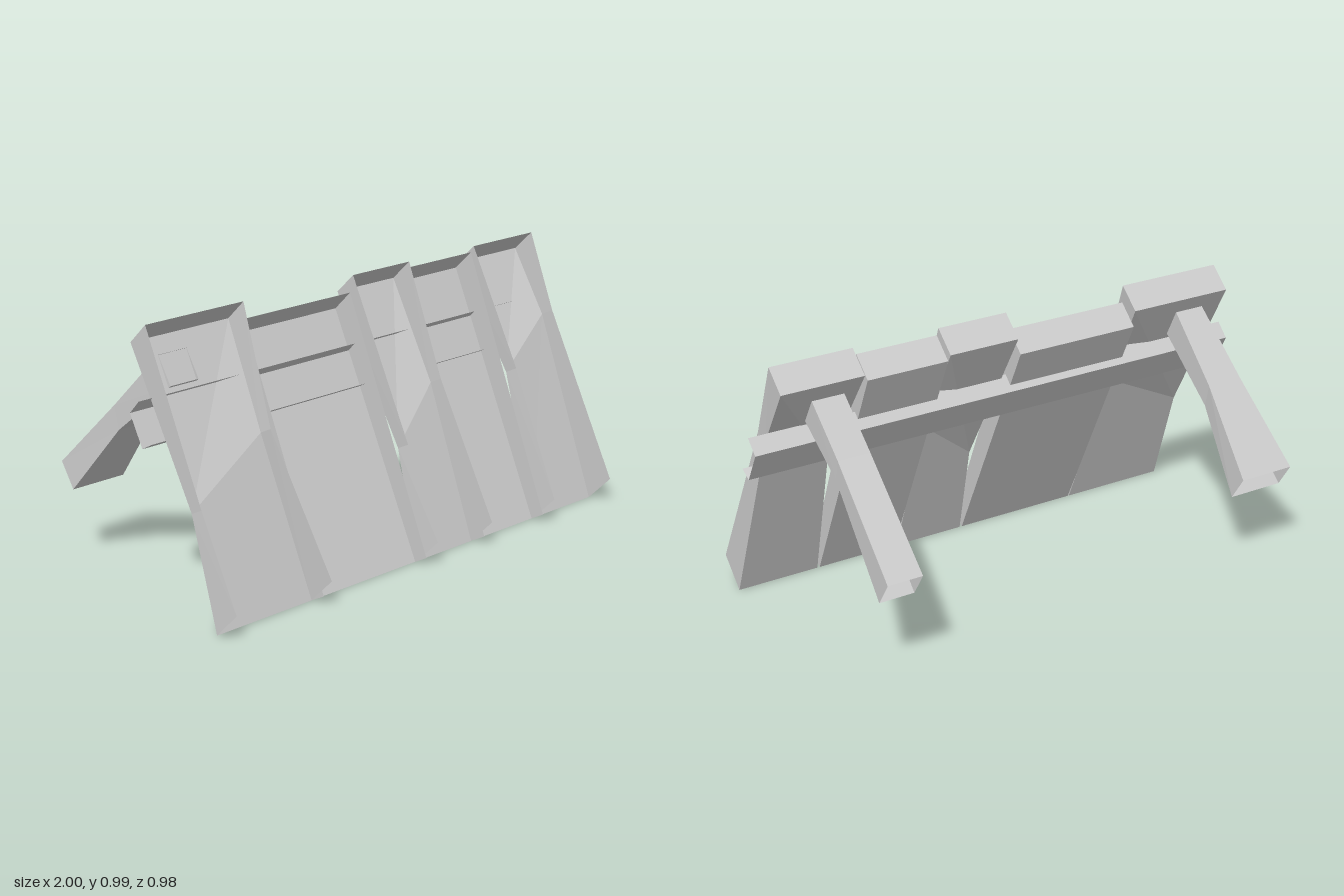
import * as THREE from 'three';

const material = new THREE.MeshStandardMaterial({
  color: 0xcccccc, flatShading: true, side: THREE.DoubleSide,
});

// Joins matching cross-sections with quads; optionally wraps round and caps the last one.
function loft(name, sections, { closed = false, cap = false } = {}) {
  const pos = [];
  const quad = (a, b, c, d) => pos.push(...a, ...b, ...c, ...a, ...c, ...d);
  for (let i = 0; i < sections.length - 1; i++) {
    const lo = sections[i], hi = sections[i + 1];
    const count = closed ? lo.length : lo.length - 1;
    for (let j = 0; j < count; j++) {
      const k = (j + 1) % lo.length;
      quad(lo[j], hi[j], hi[k], lo[k]);
    }
  }
  if (cap) quad(...sections[sections.length - 1]);
  const geometry = new THREE.BufferGeometry();
  geometry.setAttribute('position', new THREE.Float32BufferAttribute(pos, 3));
  geometry.computeVertexNormals();
  const mesh = new THREE.Mesh(geometry, material);
  mesh.name = name;
  return mesh;
}

// Plank cross-section: front left, back left, back right, front right.
// Each side is given as [x, back y, back z]; the front edge is offset by [dy, dz].
function plankSection([xa, ya, za], [xb, yb, zb], [dy, dz]) {
  return [[xa, ya + dy, za + dz], [xa, ya, za], [xb, yb, zb], [xb, yb + dy, zb + dz]];
}

export function createModel() {
  const group = new THREE.Group();

  // Wide planks: hollow at the front, pinched and bent around a slanted waist
  const widePlanks = [
    { name: 'rightPlank', x: [-0.95, -0.53], waist: [[-0.93, 0.38, 0.25], [-0.57, 0.56, 0.185]] },
    { name: 'middlePlank', x: [-0.02, 0.26], waist: [[0.02, 0.38, 0.25], [0.25, 0.56, 0.185]] },
    { name: 'leftPlank', x: [0.6, 0.92], waist: [[0.64, 0.52, 0.2], [0.91, 0.68, 0.135]] },
  ];
  for (const { name, x: [a, b], waist } of widePlanks) {
    group.add(loft(name, [
      plankSection([a, 0, 0.39], [b, 0, 0.39], [0.1, 0.1]),
      plankSection(...waist, [0.025, 0.05]),
      plankSection([a, 0.91, -0.02], [b, 0.91, -0.02], [0.075, 0.08]),
    ], { cap: true }));
  }

  // Narrow straight planks between them
  for (const [name, a, b, top] of [['innerRightPlank', -0.525, -0.03, 0.85], ['innerLeftPlank', 0.27, 0.59, 0.89]]) {
    group.add(loft(name, [
      plankSection([a, 0, 0.39], [b, 0, 0.39], [0.03, 0.055]),
      plankSection([a, top, -0.02], [b, top, -0.02], [0.072, 0.075]),
    ], { cap: true }));
  }

  // Cross rail: channel open at the front and ends
  const rail = [[0.74, 0.078], [0.69, 0.03], [0.58, 0.09], [0.605, 0.135]];
  group.add(loft('crossRail', [1, -1].map((x) => rail.map(([y, z]) => [x, y, z]))));

  // Rear legs: open square tubes with a pinched middle.
  // Each ring: [left x, right x, upper y, upper z, lower y, lower z]
  const legs = {
    rightLeg: [
      [-0.86, -0.74, 0.855, 0.01, 0.76, 0.07],
      [-0.88, -0.735, 0.635, -0.21, 0.55, -0.19],
      [-0.91, -0.69, 0.37, -0.485, 0.28, -0.425],
    ],
    leftLeg: [
      [0.665, 0.79, 0.85, 0.01, 0.757, 0.065],
      [0.66, 0.785, 0.69, -0.15, 0.61, -0.135],
      [0.66, 0.795, 0.37, -0.485, 0.28, -0.425],
    ],
  };
  for (const [name, rings] of Object.entries(legs)) {
    group.add(loft(name, rings.map(([a, b, uy, uz, ly, lz]) => [
      [a, uy, uz], [b, uy, uz], [b, ly, lz], [a, ly, lz],
    ]), { closed: true }));
  }

  return group;
}
